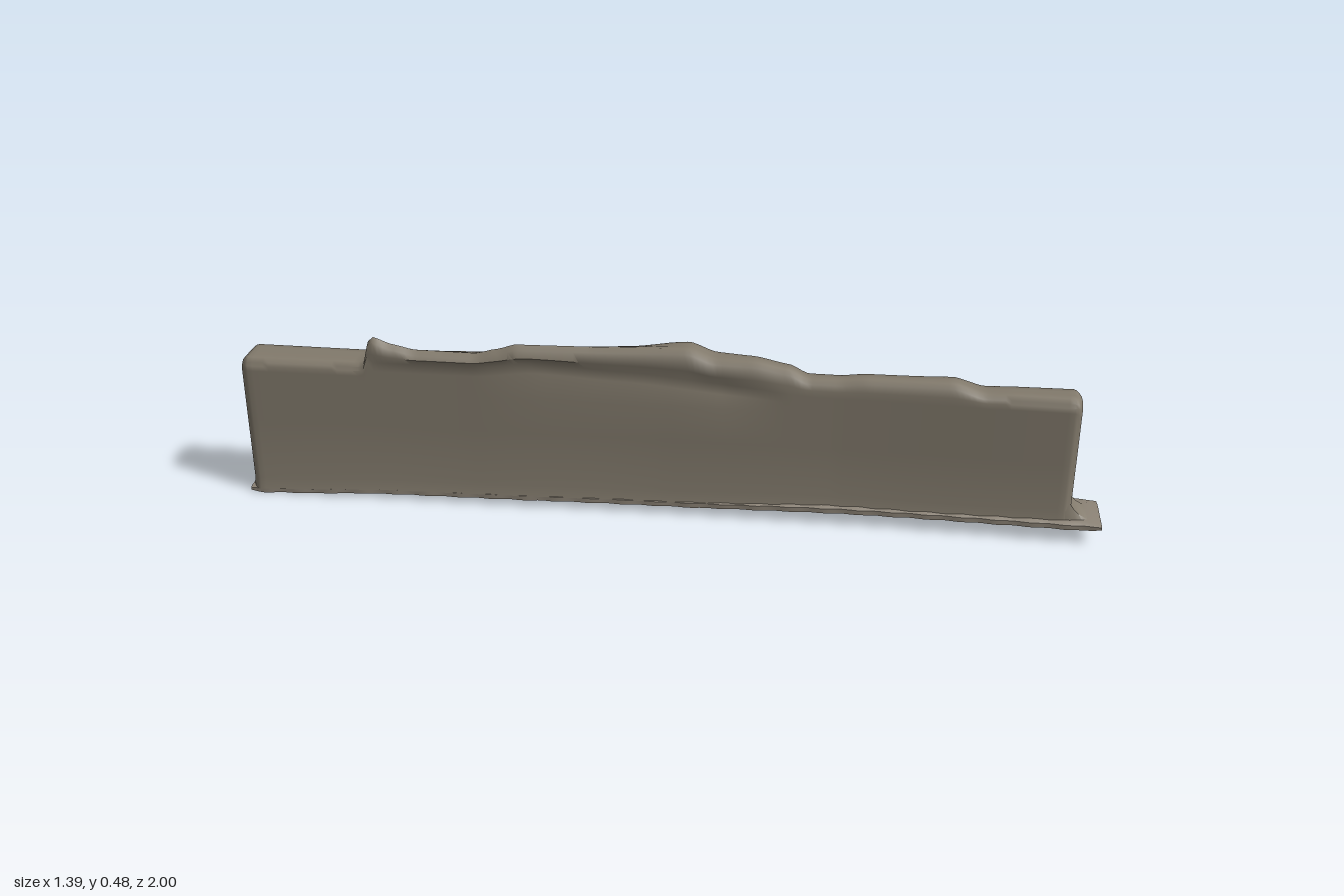
import * as THREE from 'three';
import { toCreasedNormals } from 'three/addons/utils/BufferGeometryUtils.js';

// Smoothed lookup in a short list of [position, value] pairs
function at(pairs, t) {
  if (t <= pairs[0][0]) return pairs[0][1];
  for (let i = 1; i < pairs.length; i++) {
    const [t0, v0] = pairs[i - 1], [t1, v1] = pairs[i];
    if (t <= t1) {
      const k = (t - t0) / (t1 - t0);
      return THREE.MathUtils.lerp(v0, v1, (k + k * k * (3 - 2 * k)) / 2);
    }
  }
  return pairs[pairs.length - 1][1];
}

// Skin a run of closed cross-sections (clockwise seen from +z), with capped ends
function loft(stations, section) {
  const pos = [], idx = [];
  const rings = stations.map(section);
  const n = rings[0].length;
  rings.forEach((ring, i) => ring.forEach(([x, y]) => pos.push(x, y, stations[i])));
  for (let i = 0; i < rings.length - 1; i++) {
    for (let j = 0; j < n; j++) {
      const a = i * n + j, b = i * n + (j + 1) % n;
      idx.push(a, a + n, b, b, a + n, b + n);
    }
  }
  for (const end of [0, rings.length - 1]) {
    const ring = rings[end], c = pos.length / 3;
    const mean = k => ring.reduce((sum, p) => sum + p[k], 0) / n;
    pos.push(mean(0), mean(1), stations[end]);
    for (let j = 0; j < n; j++) {
      const a = end * n + j, b = end * n + (j + 1) % n;
      if (end === 0) idx.push(c, a, b); else idx.push(c, b, a);
    }
  }
  const g = new THREE.BufferGeometry();
  g.setAttribute('position', new THREE.Float32BufferAttribute(pos, 3));
  g.setIndex(idx);
  return toCreasedNormals(g, 0.9);
}

const range = (a, b, n) => Array.from({ length: n + 1 }, (_, i) => a + (b - a) * i / n);

// Ground strip: underside height and the two plan edges
const GROUND = [[-1.145, 0], [-1.05, 0.004], [-0.75, 0.017], [0, 0.025], [0.5, 0.038], [1.145, 0.042]];
const SLAB_FRONT = [[-1.145, -0.079], [-0.5, -0.067], [0, -0.058], [0.6, -0.062], [1.145, -0.079]];
const SLAB_BACK = [[-1.145, 0.078], [-0.5, 0.08], [-0.1, 0.091], [0.2, 0.109], [0.7, 0.109], [0.96, 0.088], [1.145, 0.066]];

// Long block: plan edges at the foot, and the back edge of the roof
const START = -1.135, END = 1.065;
const FRONT = [[START, -0.075], [-0.5, -0.062], [0, -0.051], [0.45, -0.047], [END, -0.06]];
const BACK = [[START, 0.044], [-0.5, 0.048], [0, 0.053], [0.5, 0.04], [END, 0.032]];
const ROOF_BACK = [[START, 0.04], [-0.5, 0.04], [0, 0.036], [0.25, 0.018], [0.65, 0.014], [0.85, 0.024], [END, 0.028]];
// Roof silhouette along the front, and the lower line along the back
const ROOF = [[START, 0.4], [-0.8, 0.4], [-0.785, 0.46], [-0.77, 0.473], [-0.72, 0.455], [-0.66, 0.442],
  [-0.5, 0.44], [-0.44, 0.455], [-0.39, 0.47], [-0.2, 0.472], [0.06, 0.478], [0.13, 0.453], [0.23, 0.45],
  [0.32, 0.433], [0.37, 0.41], [0.45, 0.41], [0.52, 0.418], [0.74, 0.421], [0.82, 0.398], [0.9, 0.4], [END, 0.4]];
const REAR = [[START, 0.4], [-0.8, 0.4], [-0.5, 0.412], [-0.35, 0.425], [-0.1, 0.452], [0.06, 0.475], [0.13, 0.453], [0.2, 0.5]];
// How far the raised roof oversails the front, with the hollow and the height below it
const EAVES = [[-0.82, 0], [-0.75, 0.008], [-0.35, 0.008], [0.1, 0.005], [0.32, 0]];
const HOLLOW = [[-0.5, 0], [-0.3, 0.01], [0.15, 0.014], [0.32, 0]];
const UNDERSIDE = [[-0.5, 0.41], [-0.35, 0.425], [-0.1, 0.41], [0.2, 0.385], [0.4, 0.37]];

function slabSection(t) {
  const y = at(GROUND, t), ripple = 0.002 * Math.sin(t * 70);
  const tip = 0.012 * Math.max(0, 1 - (1.145 - Math.abs(t)) / 0.03);
  const f = at(SLAB_FRONT, t) + ripple, b = at(SLAB_BACK, t) + ripple;
  return [[f, y + tip / 2], [f, y + 0.013], [f + 0.012, y + 0.02 - tip / 3], [b - 0.03, y + 0.022 - tip / 3],
    [b, y + 0.013], [b, y + tip / 2]];
}

function blockSection(t) {
  // Ends are drawn in a little to round the corners
  const edge = Math.min(t - START, END - t);
  const inset = 0.013 * Math.max(0, 1 - edge / 0.02) ** 2;
  const f = at(FRONT, t) + inset, b = at(BACK, t) - inset, r = at(ROOF_BACK, t) - inset;
  const y = at(GROUND, t) + 0.012, h = at(ROOF, t) - inset;
  const rear = Math.min(h, at(REAR, t) - inset);
  const out = at(EAVES, t), hollow = at(HOLLOW, t);
  const under = Math.min(at(UNDERSIDE, t), h - 0.03);
  return [
    [f - 0.006, y], [f, y + 0.03], [f, 0.22], [f, 0.32], [f + hollow * 0.5, under - 0.03],
    [f + hollow, under - 0.004], [f - out, under + (h - under) * 0.35],
    [f - out * 0.7 + 0.004, h - 0.01], [f + 0.016, h], [f + 0.036, h - (h - rear) * 0.25],
    [r - 0.03, rear + (h - rear) * 0.2], [r - 0.01, rear - 0.001], [r, rear - 0.014],
    [r + (b - r) * 0.2, 0.35], [r + (b - r) * 0.6, 0.22], [b, y + 0.035], [b + 0.014, y],
  ];
}

// Sloping rubble at the foot of the exposed end wall
function footSection(t) {
  const y = at(GROUND, t);
  const h = at([[1.05, 0.08], [1.07, 0.05], [1.085, 0.034], [1.11, 0.02]], t);
  return [[-0.066, y], [-0.052, y + h], [0.024, y + h], [0.04, y]];
}

export function createModel() {
  const root = new THREE.Group();
  root.name = 'building';

  // The block stands diagonally on the plan
  const block = new THREE.Group();
  block.name = 'longBuilding';
  block.rotation.y = Math.atan2(0.554, 0.833);
  root.add(block);

  const add = (name, geometry, color) => {
    const mesh = new THREE.Mesh(geometry, new THREE.MeshStandardMaterial({ color }));
    mesh.name = name;
    block.add(mesh);
  };
  const wallStations = [START, START + 0.006, START + 0.012, ...range(START + 0.02, END - 0.02, 150),
    END - 0.012, END - 0.006, END];

  add('groundStrip', loft(range(-1.145, 1.145, 120), slabSection), 0x8c8376);
  add('wallBlock', loft(wallStations, blockSection), 0x827a6c);
  add('endWallFoot', loft([1.05, 1.07, 1.085, 1.11], footSection), 0x827a6c);
  return root;
}
